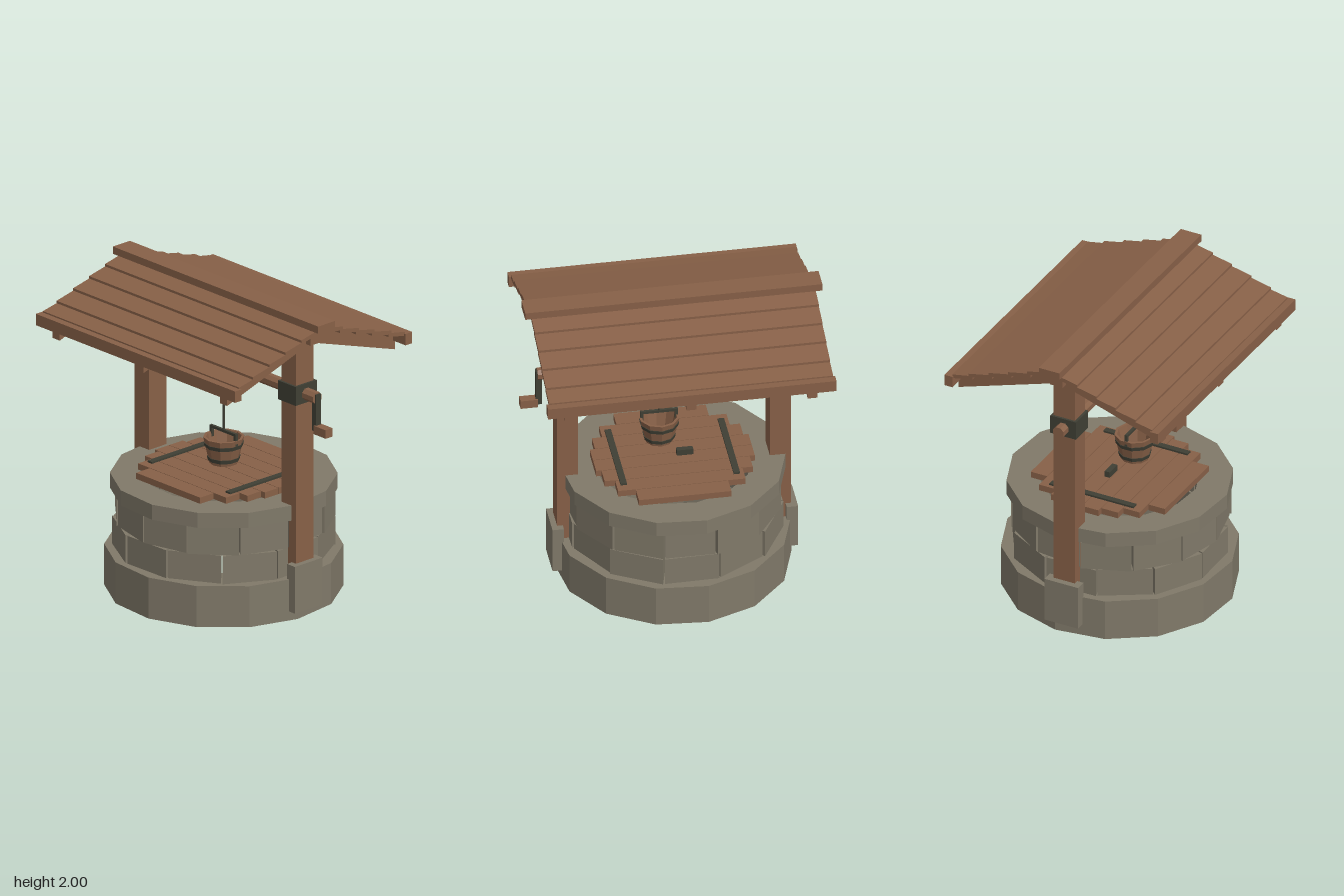
import * as THREE from 'three';

const mat = (name, color) => {
  const m = new THREE.MeshStandardMaterial({ color });
  m.name = name;
  return m;
};

export function createModel() {
  const model = new THREE.Group();
  model.name = 'well';
  const wood = mat('wood', 0x876047);
  const stone = mat('stone', 0x807969);
  const iron = mat('darkIron', 0x3f3f34);
  const CX = -0.015; // axis of the stone ring
  const rad = THREE.MathUtils.degToRad;

  const add = (name, geo, material, parent = model) => {
    const mesh = new THREE.Mesh(geo, material);
    mesh.name = name;
    parent.add(mesh);
    return mesh;
  };
  const group = (name) => {
    const g = new THREE.Group();
    g.name = name;
    model.add(g);
    return g;
  };
  // Box given by its min and max on each axis
  const box = (name, x0, x1, y0, y1, z0, z1, material, parent) => {
    const geo = new THREE.BoxGeometry(x1 - x0, y1 - y0, z1 - z0);
    geo.translate((x0 + x1) / 2, (y0 + y1) / 2, (z0 + z1) / 2);
    return add(name, geo, material, parent);
  };
  // Faceted turned shape around the y axis
  const turned = (pts, sides, start = 0) => {
    const lathe = new THREE.LatheGeometry(pts.map(p => new THREE.Vector2(...p)), sides, start);
    const geo = lathe.toNonIndexed();
    geo.computeVertexNormals();
    return geo;
  };
  const ringProfile = (rIn, rOut, y0, y1) =>
    [[rOut, y0], [rOut, y1], [rIn, y1], [rIn, y0], [rOut, y0]];
  const extrude = (pts, depth) => new THREE.ExtrudeGeometry(
    new THREE.Shape(pts.map(p => new THREE.Vector2(...p))), { depth, bevelEnabled: false });
  // Profile in (z, y) swept along x
  const sweepX = (pts, x0, x1) =>
    extrude(pts.map(([z, y]) => [-z, y]), x1 - x0).rotateY(Math.PI / 2).translate(x0, 0, 0);
  const rodX = (x0, x1, r, sides, y) => {
    const geo = new THREE.CylinderGeometry(r, r, x1 - x0, sides).toNonIndexed();
    geo.computeVertexNormals();
    return geo.rotateY(Math.PI / sides).rotateZ(Math.PI / 2).translate((x0 + x1) / 2, y, 0);
  };

  // Stone ring: footing, two courses of blocks, cap
  const ring = group('stoneRing');
  ring.position.x = CX;
  add('footing', turned(ringProfile(0.51, 0.74, 0, 0.272), 14, rad(8.1)), stone, ring);
  add('capRing', turned(ringProfile(0.5, 0.705, 0.645, 0.745), 14, rad(8.1)), stone, ring);
  const course = (name, count, startDeg, y0, y1) => {
    const step = Math.PI * 2 / count;
    for (let i = 0; i < count; i++) {
      const a = rad(startDeg) + i * step + 0.008, b = a + step - 0.016;
      const rOut = 0.685 + 0.006 * ((i * 5) % 3 - 1);
      const quad = [[rOut, a], [rOut, b], [0.52, b], [0.52, a]]
        .map(([r, t]) => [r * Math.sin(t), -r * Math.cos(t)]);
      add(name, extrude(quad, y1 - y0).rotateX(-Math.PI / 2).translate(0, y0, 0), stone, ring);
    }
  };
  course('lowerBlock', 12, 16, 0.272, 0.457);
  course('upperBlock', 13, 0, 0.46, 0.645);

  // Lid planks cut to a round outline, with straps and a grip
  const lid = group('lid');
  const halfLengths = [0.498, 0.465, 0.40, 0.29];
  for (let i = 0; i < 8; i++) {
    const k = i < 4 ? 3 - i : i - 4;
    const z0 = -0.472 + i * 0.118;
    const h = halfLengths[k];
    box('lidPlank', CX - h, CX + h, 0.745, 0.786, z0 + 0.002, z0 + 0.116, wood, lid);
  }
  for (const x of [-0.37, 0.34])
    box('lidStrap', x - 0.02, x + 0.02, 0.784, 0.798, -0.295, 0.295, iron, lid);
  box('lidGrip', -0.14, -0.037, 0.784, 0.825, -0.04, -0.005, iron, lid);

  // Posts with stone feet and iron bearings
  for (const s of [-1, 1]) {
    const side = group(s > 0 ? 'leftSupport' : 'rightSupport');
    const x = s > 0 ? 0.655 : -0.68;
    box('post', x - 0.066, x + 0.066, 0.1, 1.87, -0.075, 0.075, wood, side);
    box('bearing', x - 0.081, x + 0.081, 1.425, 1.55, -0.09, 0.09, iron, side);
    if (s > 0) box('footStone', 0.685, 0.757, 0.06, 0.37, -0.118, 0.118, stone, side);
    else box('footStone', -0.785, -0.713, 0.075, 0.37, -0.118, 0.118, stone, side);
  }

  // Windlass: shaft, drum, rope turns and crank
  const windlass = group('windlass');
  add('shaft', rodX(-0.825, 0.835, 0.04, 8, 1.483), wood, windlass);
  add('drum', rodX(-0.1, 0.187, 0.082, 10, 1.48), wood, windlass);
  for (const x of [-0.077, -0.032, 0.015])
    add('ropeTurn', rodX(x - 0.016, x + 0.016, 0.088, 10, 1.48), iron, windlass);
  box('crankArm', 0.807, 0.845, 1.265, 1.51, -0.02, 0.02, iron, windlass);
  box('crankHandle', 0.832, 0.942, 1.25, 1.306, -0.029, 0.029, wood, windlass);

  // Rope and bucket
  const bucket = group('bucket');
  bucket.position.set(0.057, 0, 0.067);
  add('rope', new THREE.CylinderGeometry(0.008, 0.008, 0.41, 6).translate(0, 1.265, 0), iron, bucket);
  add('pail', turned([[0, 0.855], [0.09, 0.855], [0.129, 1.027], [0.112, 1.027],
    [0.078, 0.875], [0, 0.875]], 10), wood, bucket);
  for (const [y0, y1] of [[0.875, 0.9], [0.965, 0.99]]) {
    const r = y => 0.09 + (y - 0.855) * 0.227;
    add('hoop', turned([[r(y0) + 0.005, y0], [r(y1) + 0.005, y1], [r(y1) - 0.004, y1],
      [r(y0) - 0.004, y0], [r(y0) + 0.005, y0]], 10), iron, bucket);
  }
  for (const s of [-1, 1])
    box('bailSide', s * 0.109 - 0.009, s * 0.109 + 0.009, 0.99, 1.06, -0.009, 0.009, iron, bucket);
  box('bailTop', -0.118, 0.118, 1.055, 1.072, -0.009, 0.009, iron, bucket);

  // Roof frame: three rafter pairs and a ridge beam
  const roof = group('roof');
  for (const x of [-0.774, -0.014, 0.747])
    add('rafterPair', sweepX([[0, 1.835], [0.71, 1.602], [0.71, 1.7], [0, 1.935],
      [-0.71, 1.7], [-0.71, 1.602]], x - 0.032, x + 0.032), wood, roof);
  box('ridgeBeam', -0.85, 0.82, 1.837, 1.935, -0.045, 0.045, wood, roof);

  // Overlapping roof boards, eave boards and ridge cap
  const slope = z => 1.935 - 0.331 * z;
  const edges = [0.01, 0.175, 0.31, 0.445, 0.585, 0.7];
  for (const s of [-1, 1]) {
    for (let i = 0; i < 5; i++) {
      const a = Math.max(0.01, edges[i] - 0.025), b = edges[i + 1];
      const ya = slope(a) + 0.001, yb = slope(b) + 0.02;
      add('roofBoard', sweepX([[s * a, ya], [s * b, yb], [s * b, yb + 0.026], [s * a, ya + 0.026]],
        -0.905, 0.878), wood, roof);
    }
    const z = s * 0.72;
    box('eaveBoard', -0.918, 0.892, 1.665, 1.74, z - 0.028, z + 0.028, wood, roof);
  }
  box('ridgeCap', -0.945, 0.92, 1.952, 2, -0.072, 0.072, wood, roof);

  return model;
}
